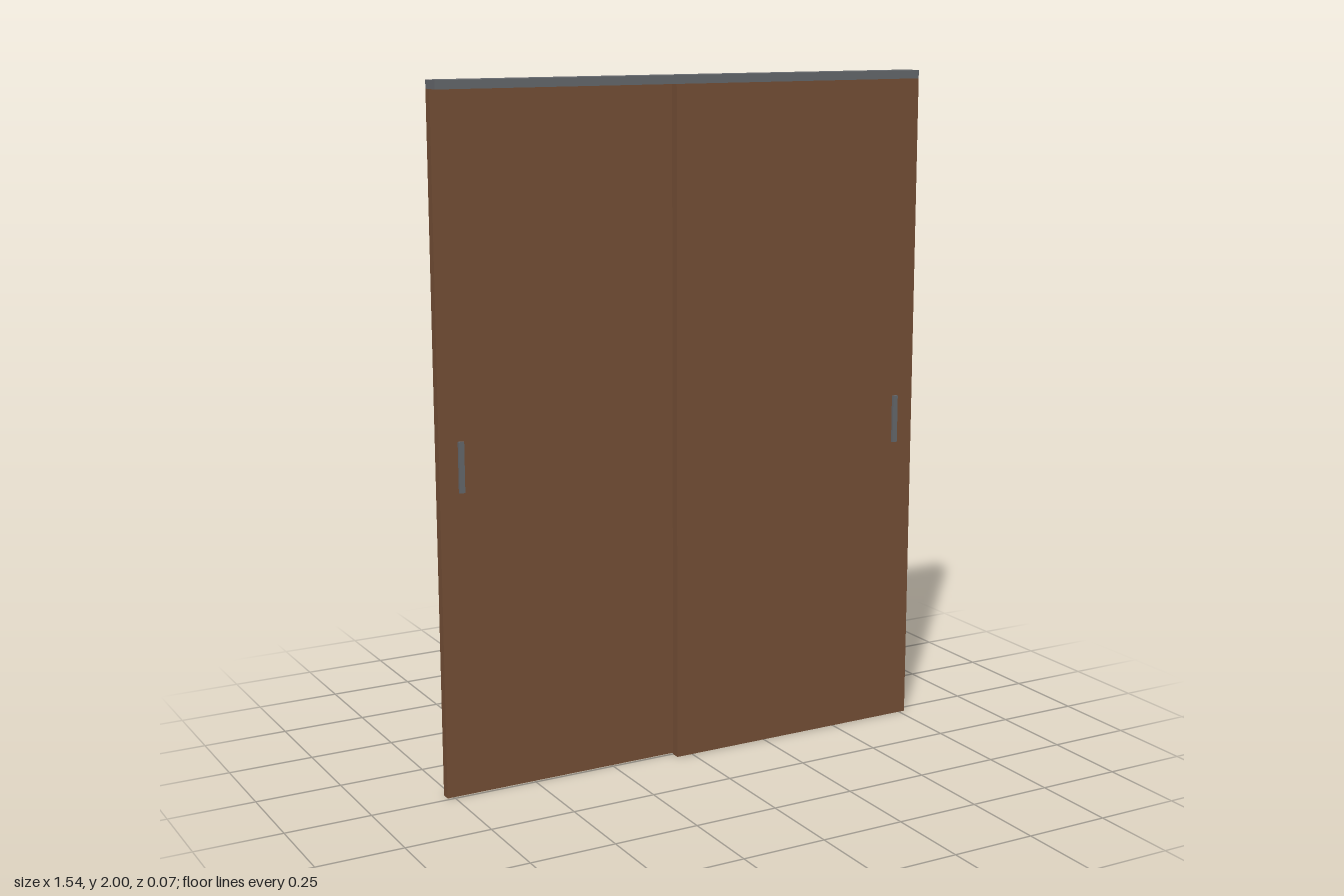
import * as THREE from 'three';

export function createModel() {
  const group = new THREE.Group();
  const wood = new THREE.MeshStandardMaterial({ color: 0x765036 });
  wood.name = 'brown wood';
  const metal = new THREE.MeshStandardMaterial({ color: 0x66696d });
  metal.name = 'grey metal';

  // Box given by its minimum and maximum corners
  const box = (name, material, [x0, y0, z0], [x1, y1, z1]) => {
    const mesh = new THREE.Mesh(new THREE.BoxGeometry(x1 - x0, y1 - y0, z1 - z0), material);
    mesh.position.set((x0 + x1) / 2, (y0 + y1) / 2, (z0 + z1) / 2);
    mesh.name = name;
    group.add(mesh);
  };

  const halfWidth = 0.77, overlap = 0.05, railBottom = 1.976;
  const thick = 0.027, handleDepth = 0.008;

  // Top rail spanning both sliding panels
  box('topRail', metal, [-halfWidth, railBottom, -0.036], [halfWidth, 2, 0.028]);

  // Two overlapping sliding panels, each with a slim handle near its outer edge
  for (const [name, side, front] of [['front', 1, 0.028], ['rear', -1, -0.009]]) {
    const inner = -side * overlap, outer = side * halfWidth;
    box(name + 'Panel', wood,
      [Math.min(inner, outer), 0, front - thick],
      [Math.max(inner, outer), railBottom, front]);
    const hx = side * 0.706;
    box(name + 'Handle', metal, [hx - 0.008, 0.88, front], [hx + 0.008, 1.024, front + handleDepth]);
  }
  return group;
}
